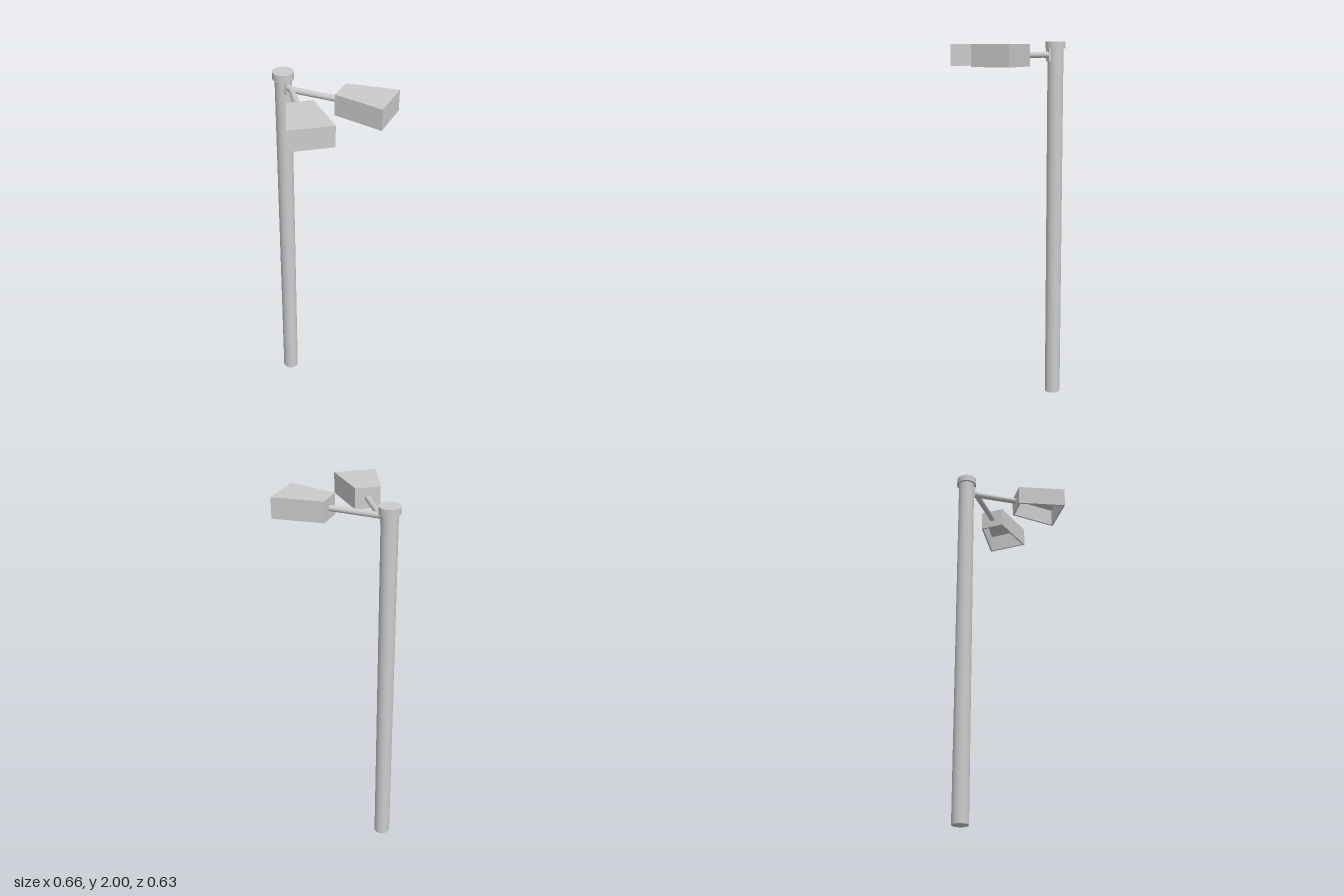
import * as THREE from 'three';

const material = new THREE.MeshStandardMaterial({ color: 0xcccccc });
const POLE_X = -0.033, POLE_Z = -0.262, ARM_Y = 1.93;

function add(parent, name, geometry, x = 0, y = 0, z = 0) {
  const mesh = new THREE.Mesh(geometry, material);
  mesh.name = name;
  mesh.position.set(x, y, z);
  parent.add(mesh);
  return mesh;
}

// Round bar between two points
function bar(parent, name, a, b, radius) {
  const dir = b.clone().sub(a);
  const mesh = add(parent, name, new THREE.CylinderGeometry(radius, radius, dir.length(), 24));
  mesh.position.copy(a).add(b).multiplyScalar(0.5);
  mesh.quaternion.setFromUnitVectors(new THREE.Vector3(0, 1, 0), dir.normalize());
}

// Trapezoid outline widening from back to front, inset by t
function trapezoid(PathType, t) {
  const back = 0.0655, front = 0.112, len = 0.262;
  const half = (z) => back + (front - back) * z / len - t * 1.015;
  const points = [[-half(t), t], [half(t), t], [half(len - t), len - t], [-half(len - t), len - t]];
  return new PathType(points.map(([x, z]) => new THREE.Vector2(x, z)));
}

// Extrudes a plan outline downwards from y = 0
function slab(shape, depth) {
  return new THREE.ExtrudeGeometry(shape, { depth, bevelEnabled: false }).rotateX(Math.PI / 2);
}

// Hollow lamp housing, open underneath
function lampHead(name) {
  const head = new THREE.Group();
  head.name = name;
  const lid = 0.009, height = 0.11;
  add(head, 'housingTop', slab(trapezoid(THREE.Shape, 0), lid));
  const ring = trapezoid(THREE.Shape, 0);
  ring.holes.push(trapezoid(THREE.Path, 0.009));
  add(head, 'housingWalls', slab(ring, height - lid), 0, -lid, 0);
  return head;
}

export function createModel() {
  const model = new THREE.Group();
  model.name = 'streetLamp';

  // Pole and cap
  add(model, 'pole', new THREE.CylinderGeometry(0.043, 0.043, 1.97, 40), POLE_X, 0.985, POLE_Z);
  add(model, 'poleCap', new THREE.CylinderGeometry(0.054, 0.054, 0.037, 40), POLE_X, 1.9815, POLE_Z);

  // Mounting plate and short stub carrying both arms
  add(model, 'mountPlate', new THREE.BoxGeometry(0.036, 0.068, 0.025), POLE_X, 1.929, -0.225);
  const joint = new THREE.Vector3(POLE_X, ARM_Y, -0.19);
  bar(model, 'armStub', new THREE.Vector3(POLE_X, ARM_Y, -0.24), joint, 0.0165);
  add(model, 'armJoint', new THREE.SphereGeometry(0.0155, 24, 16)).position.copy(joint);

  // Arms with lamp heads
  const lamps = [
    { side: 'left', x: 0.104, z: 0.0305, angle: 30 },
    { side: 'right', x: -0.1275, z: 0.0265, angle: -23 },
  ];
  for (const { side, x, z, angle } of lamps) {
    bar(model, side + 'Arm', joint, new THREE.Vector3(x, ARM_Y, z + 0.003), 0.0155);
    const head = lampHead(side + 'LampHead');
    head.position.set(x, 1.985, z);
    head.rotation.y = THREE.MathUtils.degToRad(angle);
    model.add(head);
  }
  return model;
}
